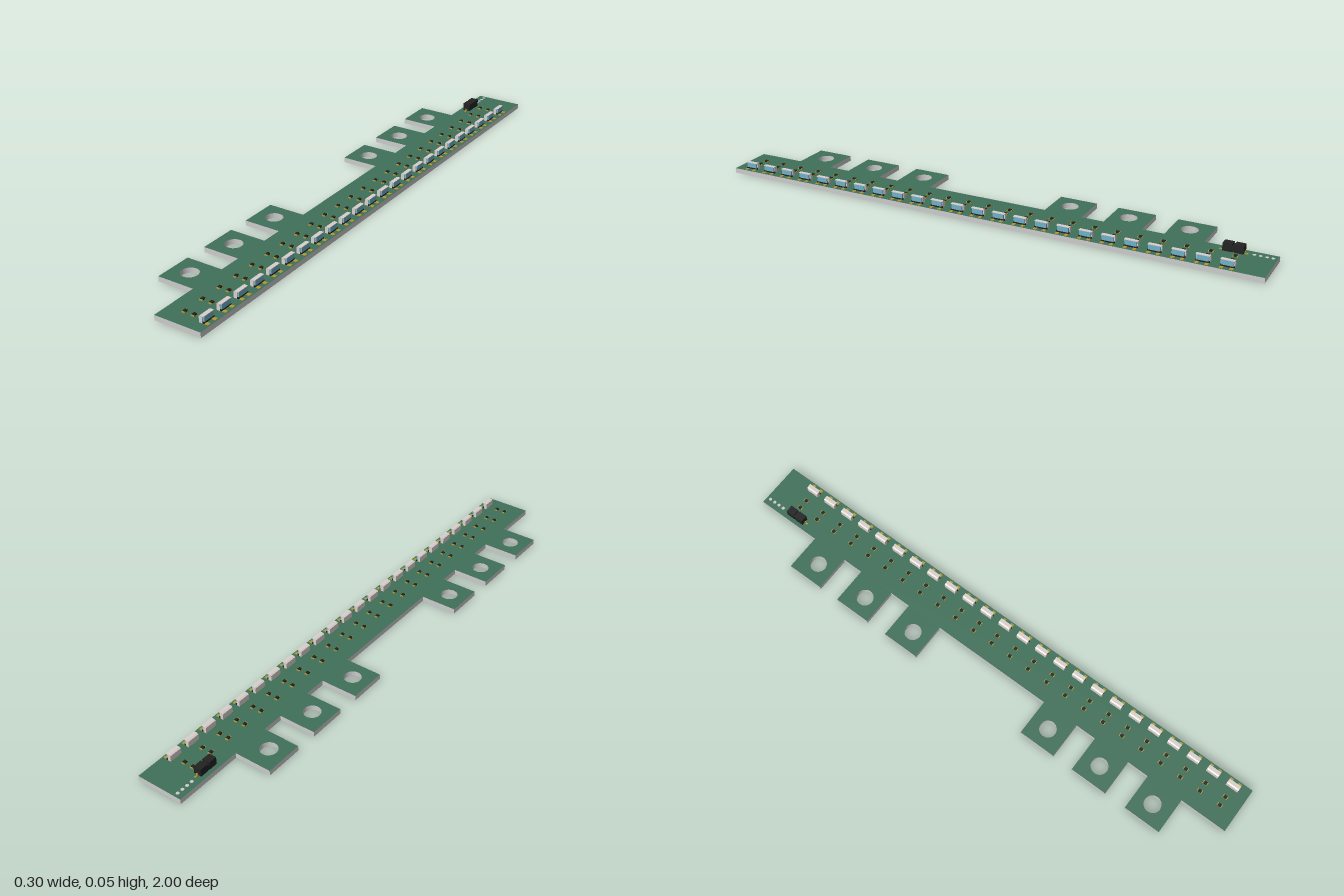
import * as THREE from 'three';

const mat = (color) => new THREE.MeshStandardMaterial({ color });
const GREY = mat(0xcccccc), GREEN = mat(0x3f7059), BLACK = mat(0x222222), GOLD = mat(0xb09a30);
const WHITE = mat(0xd8d0cc), LENS = mat(0x6fb0c8), SILVER = mat(0xc8ccc8);
const TOP = 0.018; // upper face of the board

function box(parent, name, material, [w, h, d], [x, y, z]) {
  const mesh = new THREE.Mesh(new THREE.BoxGeometry(w, h, d), material);
  mesh.name = name;
  mesh.position.set(x, y + h / 2, z); // y is the underside
  parent.add(mesh);
  return mesh;
}

// Long strip with six mounting tabs, each with a round hole
function makeBoard() {
  const tabs = [-0.687, -0.473, -0.257, 0.332, 0.545, 0.761];
  const holes = [-0.681, -0.467, -0.252, 0.331, 0.545, 0.76];
  const half = 0.068, inner = -0.018, outer = -0.152;
  const pts = [[0.152, -1], [inner, -1]];
  for (const z of tabs) {
    pts.push([inner, z - half], [outer, z - half], [outer, z + half], [inner, z + half]);
  }
  pts.push([inner, 1], [0.152, 1]);
  const shape = new THREE.Shape(pts.map(([x, z]) => new THREE.Vector2(x, -z)));
  for (const z of holes) {
    shape.holes.push(new THREE.Path().absarc(-0.087, -z, 0.03, 0, Math.PI * 2, true));
  }
  const geo = new THREE.ExtrudeGeometry(shape, { depth: TOP, bevelEnabled: false, curveSegments: 32 });
  geo.rotateX(-Math.PI / 2);
  const board = new THREE.Mesh(geo, [GREEN, GREY]);
  board.name = 'circuitBoard';
  return board;
}

// Side-facing lamp: pale housing with a chamfered back, lens towards +x
function makeLamp() {
  const lamp = new THREE.Group();
  lamp.name = 'lamp';
  const profile = new THREE.Shape([[0.115, 0.019], [0.127, 0.019], [0.127, 0.043], [0.12, 0.043], [0.115, 0.04]]
    .map(([x, y]) => new THREE.Vector2(x, y)));
  const geo = new THREE.ExtrudeGeometry(profile, { depth: 0.046, bevelEnabled: false });
  geo.translate(0, 0, -0.023);
  const housing = new THREE.Mesh(geo, WHITE);
  housing.name = 'lampHousing';
  lamp.add(housing);
  box(lamp, 'lampLens', LENS, [0.006, 0.017, 0.04], [0.13, 0.024, 0]);
  box(lamp, 'lampRim', WHITE, [0.006, 0.002, 0.046], [0.13, 0.041, 0]);
  box(lamp, 'lampBase', BLACK, [0.006, 0.005, 0.046], [0.13, 0.019, 0]);
  for (const s of [-1, 1]) {
    box(lamp, 'lampPad', GOLD, [0.032, 0.0015, 0.012], [0.131, TOP, s * 0.016]);
  }
  return lamp;
}

// Small chip with a metal cap at each end
function makeChip(x) {
  const chip = new THREE.Group();
  chip.name = 'chip';
  box(chip, 'chipBody', BLACK, [0.01, 0.005, 0.012], [x, TOP + 0.001, 0]);
  for (const s of [-1, 1]) {
    box(chip, 'chipCap', GOLD, [0.012, 0.004, 0.004], [x, TOP, s * 0.007]);
  }
  return chip;
}

// Black two-part connector with gold leads at both ends
function makeConnector() {
  const connector = new THREE.Group();
  connector.name = 'connector';
  connector.position.set(0.01, 0, -0.86);
  box(connector, 'connectorBase', BLACK, [0.026, 0.02, 0.07], [0, TOP + 0.003, 0]);
  for (const s of [-1, 1]) {
    box(connector, 'connectorBlock', BLACK, [0.028, 0.027, 0.031], [0, TOP + 0.002, s * 0.019]);
    box(connector, 'connectorLead', GOLD, [0.006, 0.009, 0.003], [0, TOP, s * 0.0365]);
    box(connector, 'connectorFoot', GOLD, [0.006, 0.002, 0.01], [0, TOP, s * 0.042]);
  }
  return connector;
}

export function createModel() {
  const model = new THREE.Group();
  model.name = 'lampStrip';
  model.add(makeBoard(), makeConnector());

  // 24 evenly spaced stations, each a lamp and two chips
  for (let i = 0; i < 24; i++) {
    const station = new THREE.Group();
    station.name = 'station';
    station.position.z = -0.876 + i * 0.0789;
    station.add(makeLamp(), makeChip(0.045), makeChip(0.079));
    model.add(station);
  }

  // Solder pads at the far end
  for (let i = 0; i < 4; i++) {
    const pad = new THREE.Mesh(new THREE.CylinderGeometry(0.006, 0.006, 0.001, 16), SILVER);
    pad.name = 'solderPad';
    pad.position.set(0.006, TOP + 0.0005, -0.985 + i * 0.02);
    model.add(pad);
  }
  return model;
}
